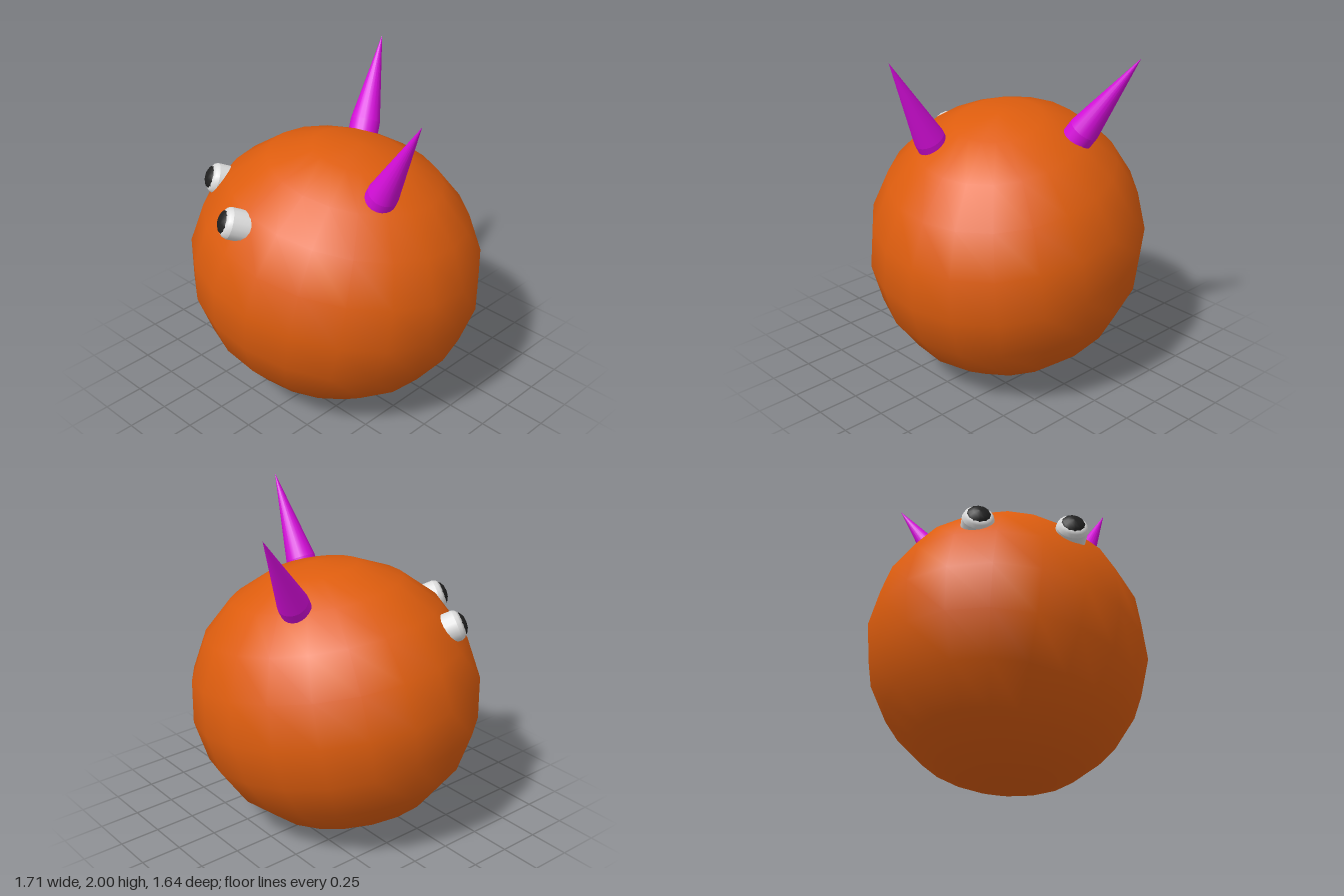
import * as THREE from 'three';

const mat = (name, color, side = THREE.FrontSide) => {
  const m = new THREE.MeshStandardMaterial({ color, side });
  m.name = name;
  return m;
};

// Group whose local +y points from one position along a direction
function aimed(name, at, dir) {
  const g = new THREE.Group();
  g.name = name;
  g.position.set(...at);
  const d = new THREE.Vector3(...dir).normalize();
  g.quaternion.setFromUnitVectors(new THREE.Vector3(0, 1, 0), d);
  return g;
}

function part(name, geometry, material, y = 0) {
  const m = new THREE.Mesh(geometry, material);
  m.name = name;
  m.position.y = y;
  return m;
}

export function createModel() {
  const model = new THREE.Group();
  model.name = 'hornedBall';
  const orange = mat('orange skin', 0xde5d0e);
  const magenta = mat('magenta horn', 0xd60ddb);
  const white = mat('eye white', 0xdedede);
  const black = mat('pupil black', 0x202020);

  // Body: a coarse, smooth-shaded ellipsoid, turned and tipped sideways
  const body = part('body', new THREE.SphereGeometry(1, 20, 10), orange, 0.82);
  body.scale.set(0.887, 0.829, 0.82);
  body.rotation.set(0, 0.46, -0.18, 'YZX');
  model.add(body);

  // Horns: a short collar sunk in the body, then a long cone
  const horns = [
    ['leftHorn', [0.485, 1.52, 0.125], [0.74, 2, 0.13]],
    ['rightHorn', [-0.18, 1.56, -0.44], [-0.31, 2, -0.72]],
  ];
  for (const [name, base, tip] of horns) {
    const dir = tip.map((v, i) => v - base[i]);
    const length = Math.hypot(...dir);
    const horn = aimed(name, base, dir);
    horn.add(part('collar', new THREE.CylinderGeometry(0.09, 0.09, 0.2, 20, 1, true), magenta, -0.1));
    horn.add(part('spike', new THREE.ConeGeometry(0.09, length, 20, 1, true), magenta, length / 2));
    model.add(horn);
  }

  // Eyes: white barrel, bevelled front and a domed pupil, both gazing the same way
  const gaze = [-0.5, 0.35, 0.79];
  const bevel = [[0.092, 0.015], [0.084, 0.036], [0.066, 0.05], [0, 0.055]]
    .map(([r, y]) => new THREE.Vector2(r, y));
  const dome = [[0.07, 0.045], [0.06, 0.06], [0.035, 0.072], [0, 0.077]]
    .map(([r, y]) => new THREE.Vector2(r, y));
  for (const [name, at] of [['rightEye', [-0.58, 1.33, 0.405]], ['leftEye', [-0.13, 1.32, 0.69]]]) {
    const eye = aimed(name, at, gaze);
    eye.add(part('barrel', new THREE.CylinderGeometry(0.092, 0.092, 0.155, 16, 1, true), white, -0.0625));
    eye.add(part('eyeWhite', new THREE.LatheGeometry(bevel, 16), white));
    eye.add(part('pupil', new THREE.LatheGeometry(dome, 12), black));
    model.add(eye);
  }
  return model;
}
